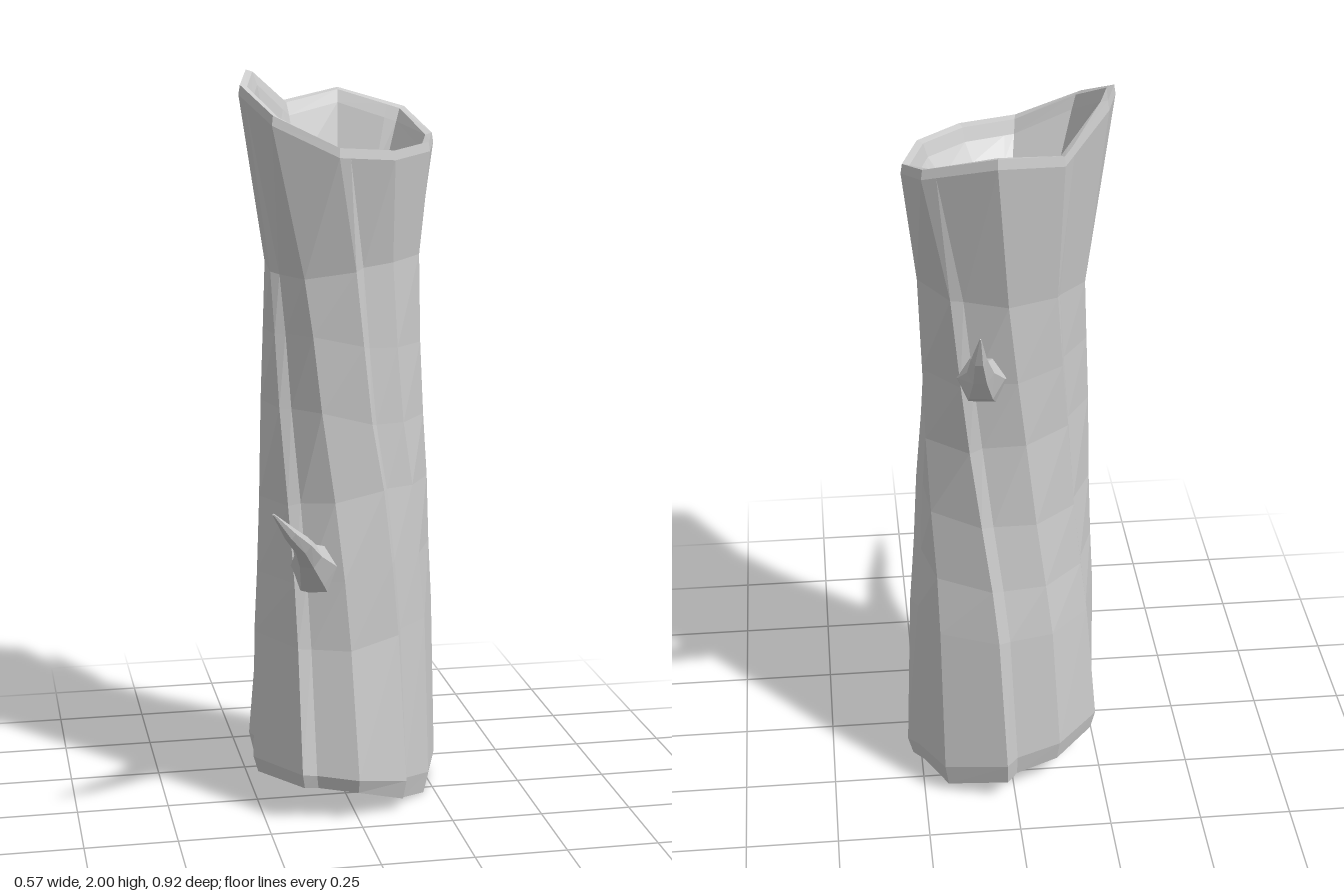
import * as THREE from 'three';

const material = new THREE.MeshStandardMaterial({ color: 0xcccccc, flatShading: true, side: THREE.DoubleSide });
const V = (x, y, z) => new THREE.Vector3(x, y, z);
const wobble = (i, j) => Math.sin(i * 12.9 + j * 7.3 + Math.sin(j * 3.1) * 5);

// Skin a list of equally sized closed rings
function loft(name, rings) {
  const n = rings[0].length, index = [];
  for (let i = 0; i < rings.length - 1; i++) {
    for (let j = 0; j < n; j++) {
      const a = i * n + j, b = i * n + (j + 1) % n;
      index.push(a, b, b + n, a, b + n, a + n);
    }
  }
  const geometry = new THREE.BufferGeometry().setFromPoints(rings.flat());
  geometry.setIndex(index);
  geometry.computeVertexNormals();
  const mesh = new THREE.Mesh(geometry, material);
  mesh.name = name;
  return mesh;
}

// Jagged top rim, counter-clockwise from the front
const rim = [
  [-0.05, 1.82, 0.188], [0.1, 1.81, 0.168], [0.22, 1.82, 0.04], [0.268, 1.83, -0.13], [0.228, 1.89, -0.31],
  [0.05, 1.94, -0.383], [-0.12, 1.91, -0.31], [-0.24, 2.0, -0.19], [-0.282, 1.97, -0.01], [-0.217, 1.9, 0.137],
].map(p => V(...p));

// Trunk sections: y, centre x, centre z, radius x, radius z, twist in degrees, bark crack strength
const sections = [
  [0.5, 0.008, -0.087, 0.256, 0.265, 38, 0.9],
  [0.68, 0.008, -0.08, 0.243, 0.25, 34, 0.9],
  [0.88, 0.01, -0.08, 0.233, 0.23, 28, 1],
  [1.1, 0.008, -0.077, 0.225, 0.219, 20, 1],
  [1.3, 0.008, -0.08, 0.22, 0.22, 14, 0.9],
  [1.5, 0.01, -0.085, 0.22, 0.226, 8, 0.7],
];

function createTrunk() {
  // Main columns, with a recessed column beside some of them as a bark crack
  const columns = [];
  rim.forEach((p, k) => {
    const cracked = k % 2 === 0;
    columns.push({ top: p, relief: cracked ? 0.02 : 0 });
    if (cracked) columns.push({ top: p.clone().lerp(rim[(k + 1) % rim.length], 0.2), relief: -0.07 });
  });
  // The section is an oval, longest from front right to back left
  const ring = ([y, cx, cz, rx, rz, twist, crack], i) => columns.map(({ top, relief }, j) => {
    const a = Math.atan2(top.x, top.z + 0.09) + THREE.MathUtils.degToRad(twist);
    const r = 1 + relief * crack + 0.014 * wobble(i, j) - 0.085 * Math.sin(2 * a);
    return V(cx + Math.sin(a) * rx * r, y + 0.025 * wobble(j, i), cz + Math.cos(a) * rz * r);
  });
  const mapRing = (points, s, height) =>
    points.map((p, j) => V(p.x * s, height(p, j), (p.z + 0.09) * s - 0.09));

  // Slanted foot with a rounded lip and a hollow underside
  const foot = ring([0, 0.005, -0.08, 0.272, 0.298, 42, 1], 9);
  const footY = p => 0.042 - 0.15 * p.x + 0.2 * Math.max(0, Math.abs(p.z + 0.05) - 0.15);
  const top = columns.map(c => c.top);
  return loft('trunk', [
    mapRing(foot, 0, () => 0.3),
    mapRing(foot, 0.45, () => 0.29),
    mapRing(foot, 0.74, () => 0.25),
    mapRing(foot, 0.87, p => footY(p) + 0.02),
    mapRing(foot, 0.95, (p, j) => Math.max(0, footY(p) + 0.015 * wobble(j, 4))),
    mapRing(foot, 1, p => footY(p) + 0.055),
    ...sections.map(ring),
    mapRing(top, 0.995, p => p.y - 0.025),
    mapRing(top, 0.98, p => p.y),
    // Hollow in the top with a rippled floor
    mapRing(top, 0.91, p => p.y - 0.005),
    mapRing(top, 0.86, p => p.y - 0.04),
    mapRing(top, 0.7, () => 1.73),
    mapRing(top, 0.44, (p, j) => 1.7 + 0.008 * wobble(j, 5)),
    mapRing(top, 0.21, (p, j) => 1.715 + 0.008 * wobble(j, 6)),
    mapRing(top, 0, () => 1.705),
  ]);
}

// Tapered, curved broken branch; each stop is x, y, z, radius
function createBranch(name, stops, sides = 6) {
  const points = stops.map(s => V(s[0], s[1], s[2]));
  const rings = points.map((p, i) => {
    const t = points[Math.min(i + 1, points.length - 1)].clone().sub(points[Math.max(i - 1, 0)]).normalize();
    const u = V(0, 1, 0).cross(t).normalize(), v = t.clone().cross(u);
    return Array.from({ length: sides }, (_, j) => {
      const a = j / sides * Math.PI * 2, r = stops[i][3];
      return p.clone().addScaledVector(u, Math.cos(a) * r).addScaledVector(v, Math.sin(a) * r);
    });
  });
  rings.push(rings[0].map(() => points[points.length - 1].clone()));
  return loft(name, rings);
}

export function createModel() {
  const group = new THREE.Group();
  group.name = 'hollowTreeTrunk';
  group.add(
    createTrunk(),
    createBranch('frontBranch', [
      [-0.08, 0.65, 0.04, 0.1], [-0.112, 0.71, 0.14, 0.062], [-0.14, 0.757, 0.21, 0.037],
      [-0.17, 0.81, 0.29, 0.026], [-0.215, 0.865, 0.37, 0.018], [-0.27, 0.94, 0.46, 0.003],
    ]),
    createBranch('backBranch', [
      [0.07, 1.26, -0.2, 0.08], [0.085, 1.315, -0.305, 0.06], [0.092, 1.365, -0.365, 0.034],
      [0.1, 1.43, -0.415, 0.02], [0.1, 1.51, -0.46, 0.002],
    ]),
  );
  return group;
}
